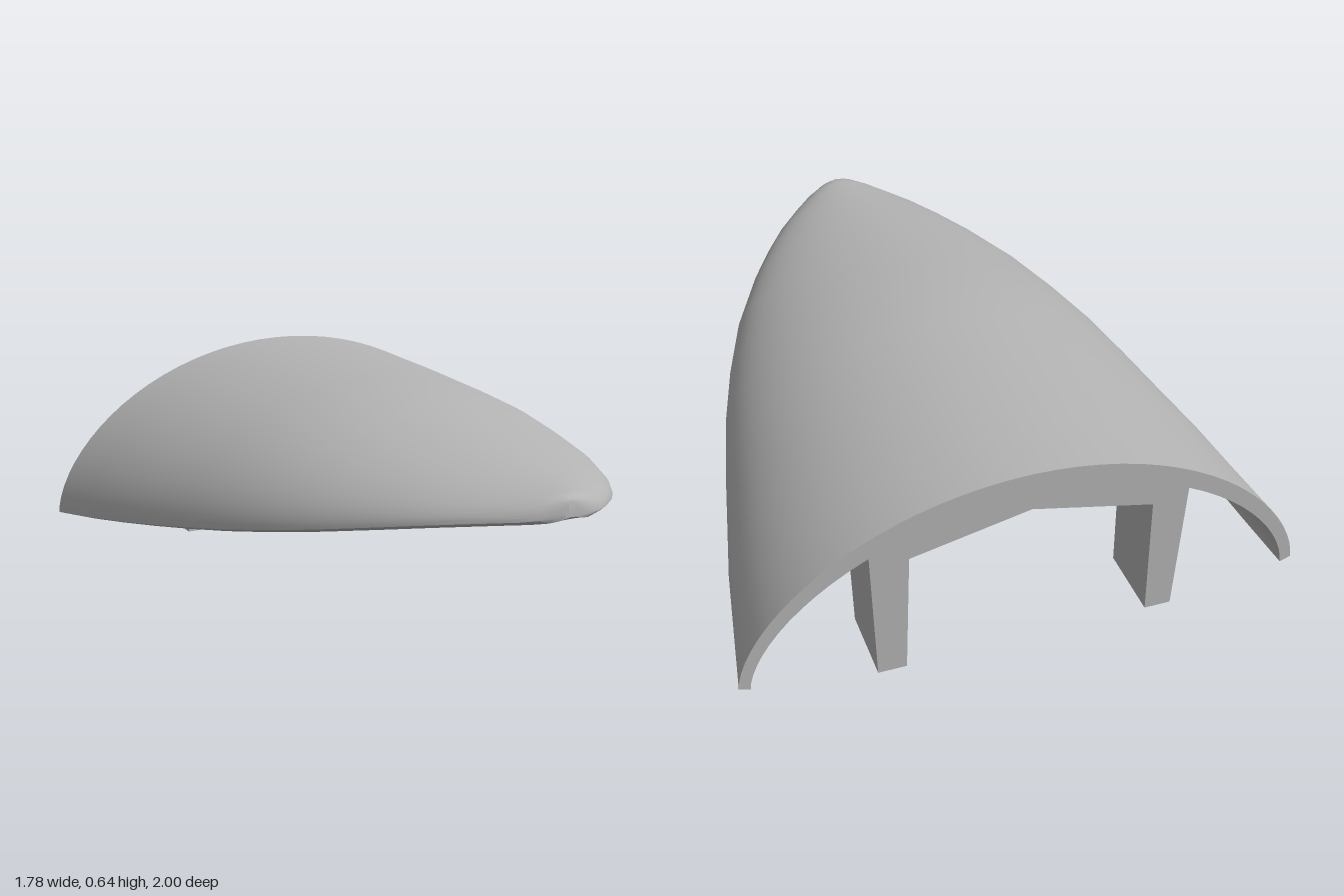
import * as THREE from 'three';
import { toCreasedNormals } from 'three/addons/utils/BufferGeometryUtils.js';

// Stations along the shell: z, half width, crown height, edge height
const STATIONS = [
  [-1, 0.89, 0.64, 0.06], [-0.8, 0.855, 0.64, 0.09], [-0.6, 0.82, 0.64, 0.125],
  [-0.4, 0.775, 0.638, 0.16], [-0.2, 0.73, 0.636, 0.198], [0, 0.68, 0.629, 0.238],
  [0.2, 0.615, 0.607, 0.28], [0.4, 0.535, 0.582, 0.325], [0.6, 0.425, 0.557, 0.37],
  [0.72, 0.345, 0.543, 0.396], [0.82, 0.27, 0.532, 0.416], [0.9, 0.195, 0.526, 0.43],
  [0.95, 0.143, 0.524, 0.438], [0.98, 0.098, 0.521, 0.444], [0.994, 0.058, 0.514, 0.45],
  [1, 0.025, 0.505, 0.457],
];
const STEPS = 40;

// Arched line: half width, crown and edge heights at one station
function arch(z, w, top, edge) {
  const points = [];
  for (let j = 0; j <= STEPS; j++) {
    const a = (j / STEPS - 0.5) * Math.PI;
    const rise = Math.pow(Math.max(0, Math.cos(a)), 1.2);
    points.push([w * Math.sin(a), edge + (top - edge) * rise, z]);
  }
  return points;
}

// Thick open-backed shell: outer skin, inner skin, lower rim and end faces
function shellGeometry() {
  const rings = STATIONS.map(([z, w, top, edge]) => {
    const rim = Math.min(0.035, w * 0.3);
    const outer = arch(z, w, top, edge + 0.012);
    const inner = arch(z, w - rim, Math.max(edge + 0.002, top - 0.07), edge);
    return [...outer, ...inner.reverse()];
  });
  const pos = [];
  const quad = (a, b, c, d) => pos.push(...a, ...b, ...c, ...a, ...c, ...d);
  const count = rings[0].length;
  for (let i = 0; i < rings.length - 1; i++) {
    for (let j = 0; j < count; j++) {
      const k = (j + 1) % count;
      quad(rings[i][j], rings[i + 1][j], rings[i + 1][k], rings[i][k]);
    }
  }
  const back = rings[0], tip = rings[rings.length - 1], last = count - 1;
  for (let j = 0; j < STEPS; j++) {
    quad(back[j], back[j + 1], back[last - j - 1], back[last - j]);
    quad(tip[j], tip[last - j], tip[last - j - 1], tip[j + 1]);
  }
  const geometry = new THREE.BufferGeometry();
  geometry.setAttribute('position', new THREE.Float32BufferAttribute(pos, 3));
  return toCreasedNormals(geometry, 0.7);
}

// Flat outline extruded from the open back towards the front
function slab(points) {
  const shape = new THREE.Shape(points.map(([x, y]) => new THREE.Vector2(x, y)));
  const geometry = new THREE.ExtrudeGeometry(shape, { depth: 0.24, bevelEnabled: false });
  return geometry.translate(0, 0, -1);
}

export function createModel() {
  const model = new THREE.Group();
  model.name = 'curvedShell';
  const grey = new THREE.MeshStandardMaterial({ color: 0xb4b4b4 });
  grey.name = 'plain grey';
  const add = (name, geometry) => {
    const mesh = new THREE.Mesh(geometry, grey);
    mesh.name = name;
    model.add(mesh);
  };

  add('shell', shellGeometry());

  // Cross rib under the crown with a shallow peaked underside
  add('crossRib', slab([
    [-0.4, 0.42], [0, 0.51], [0.4, 0.42], [0.4, 0.52], [0.2, 0.575], [0, 0.595],
    [-0.2, 0.575], [-0.4, 0.52],
  ]));

  // Slightly tapered mounting legs
  add('leftLeg', slab([[0.38, 0], [0.47, 0], [0.492, 0.47], [0.37, 0.51]]));
  add('rightLeg', slab([[-0.48, 0], [-0.395, 0], [-0.385, 0.51], [-0.502, 0.47]]));

  return model;
}
